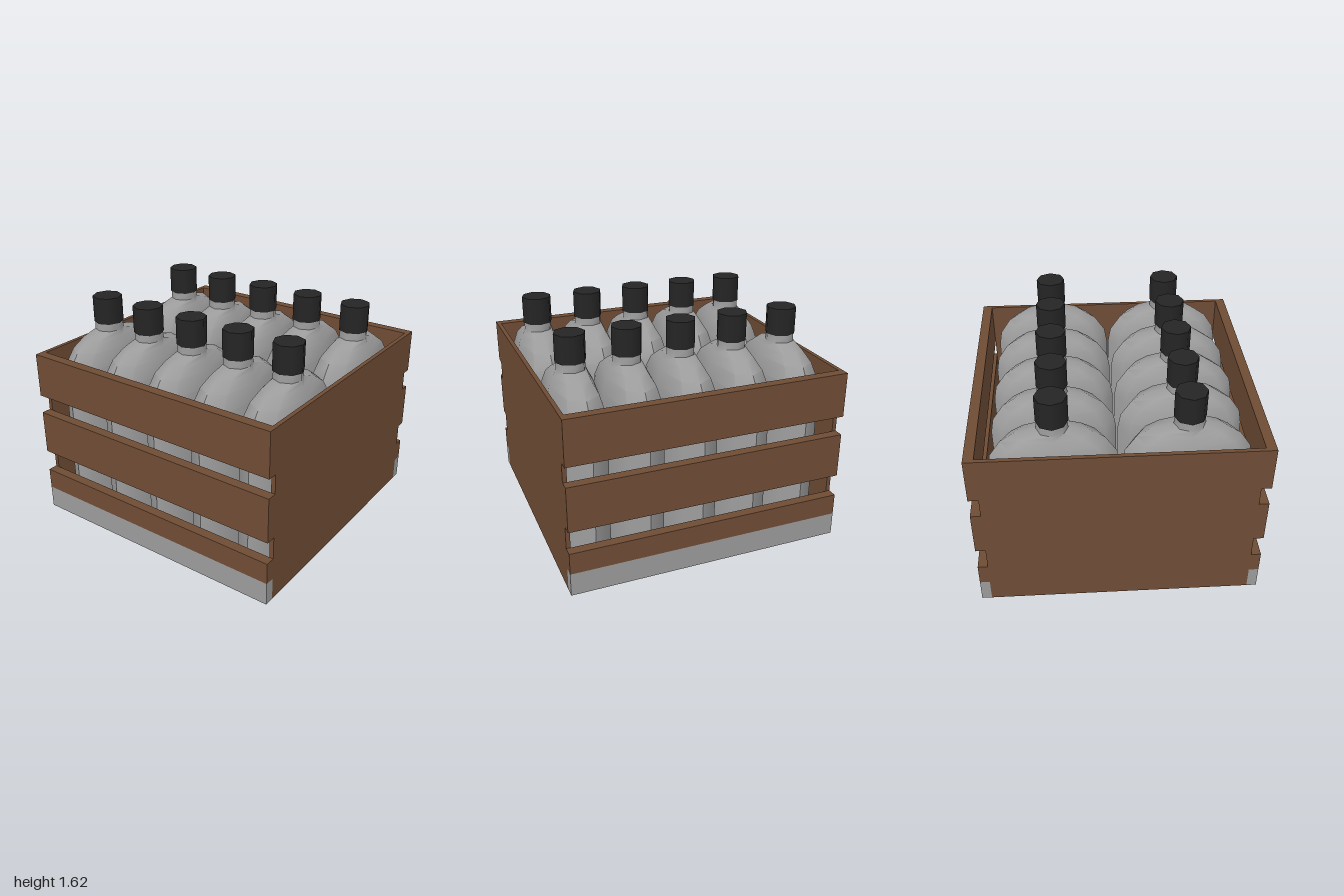
import * as THREE from 'three';
import { toCreasedNormals } from 'three/addons/utils/BufferGeometryUtils.js';

const material = (name, color) => {
  const m = new THREE.MeshStandardMaterial({ color });
  m.name = name;
  return m;
};

// Rings of eight points, bottom to top: [y, half width, half depth, corner x, corner z]
function bottleGeometry() {
  const rings = [
    [0.03, 0.44, 0.18, 0.82, 0.72],
    [1.05, 0.44, 0.18, 0.82, 0.72],
    [1.16, 0.42, 0.175, 0.82, 0.72],
    [1.27, 0.345, 0.15, 0.8, 0.72],
    [1.335, 0.25, 0.118, 0.76, 0.71],
    [1.37, 0.105, 0.102, 0.71, 0.71],
    [1.43, 0.1, 0.1, 0.71, 0.71],
  ];
  const positions = [], index = [];
  for (const [y, w, d, cx, cz] of rings) {
    const loop = [[1, 0], [cx, cz], [0, 1], [-cx, cz], [-1, 0], [-cx, -cz], [0, -1], [cx, -cz]];
    for (const [x, z] of loop) positions.push(x * w, y, z * d);
  }
  for (let r = 0; r < rings.length - 1; r++) {
    for (let i = 0; i < 8; i++) {
      const a = r * 8 + i, b = r * 8 + (i + 1) % 8;
      index.push(a, a + 8, b, b, a + 8, b + 8);
    }
  }
  for (let i = 1; i < 7; i++) index.push(0, i, i + 1); // base
  const geometry = new THREE.BufferGeometry();
  geometry.setAttribute('position', new THREE.Float32BufferAttribute(positions, 3));
  geometry.setIndex(index);
  return toCreasedNormals(geometry, 0.9);
}

export function createModel() {
  const model = new THREE.Group();
  model.name = 'bottleCrate';
  const wood = material('brownWood', 0x6f4c35);
  const grey = material('grey', 0x9c9c9c);
  const black = material('blackCap', 0x252525);

  const add = (parent, name, geometry, mat, x, y, z) => {
    const mesh = new THREE.Mesh(geometry, mat);
    mesh.name = name;
    mesh.position.set(x, y, z);
    parent.add(mesh);
  };
  const box = (name, mat, w, y0, y1, d, x, z) =>
    add(model, name, new THREE.BoxGeometry(w, y1 - y0, d), mat, x, (y0 + y1) / 2, z);

  // Crate floor and solid end panels
  box('floor', wood, 1.86, 0, 0.03, 1.94, 0, 0);
  for (const s of [1, -1]) {
    box(s > 0 ? 'frontPanel' : 'backPanel', wood, 1.86, 0, 1.28, 0.03, 0, s * 0.985);
  }

  // Slatted sides with a grey bottom rail
  for (const s of [1, -1]) {
    const side = s > 0 ? 'left' : 'right';
    box(side + 'BottomRail', grey, 0.07, 0, 0.168, 2, s * 0.965, 0);
    [[0.168, 0.325], [0.487, 0.815], [0.955, 1.28]].forEach(([y0, y1], i) =>
      box(side + 'Slat' + (i + 1), wood, 0.07, y0, y1, 2, s * 0.965, 0));
  }

  // Two columns of five flat bottles
  const body = bottleGeometry();
  const cap = new THREE.CylinderGeometry(0.107, 0.107, 0.195, 8);
  for (const x of [-0.457, 0.433]) {
    for (let i = 0; i < 5; i++) {
      const bottle = new THREE.Group();
      bottle.name = 'bottle';
      bottle.position.set(x, 0, -0.787 + i * 0.3915);
      add(bottle, 'bottleBody', body, grey, 0, 0, 0);
      add(bottle, 'bottleCap', cap, black, 0, 1.5225, 0);
      model.add(bottle);
    }
  }
  return model;
}
